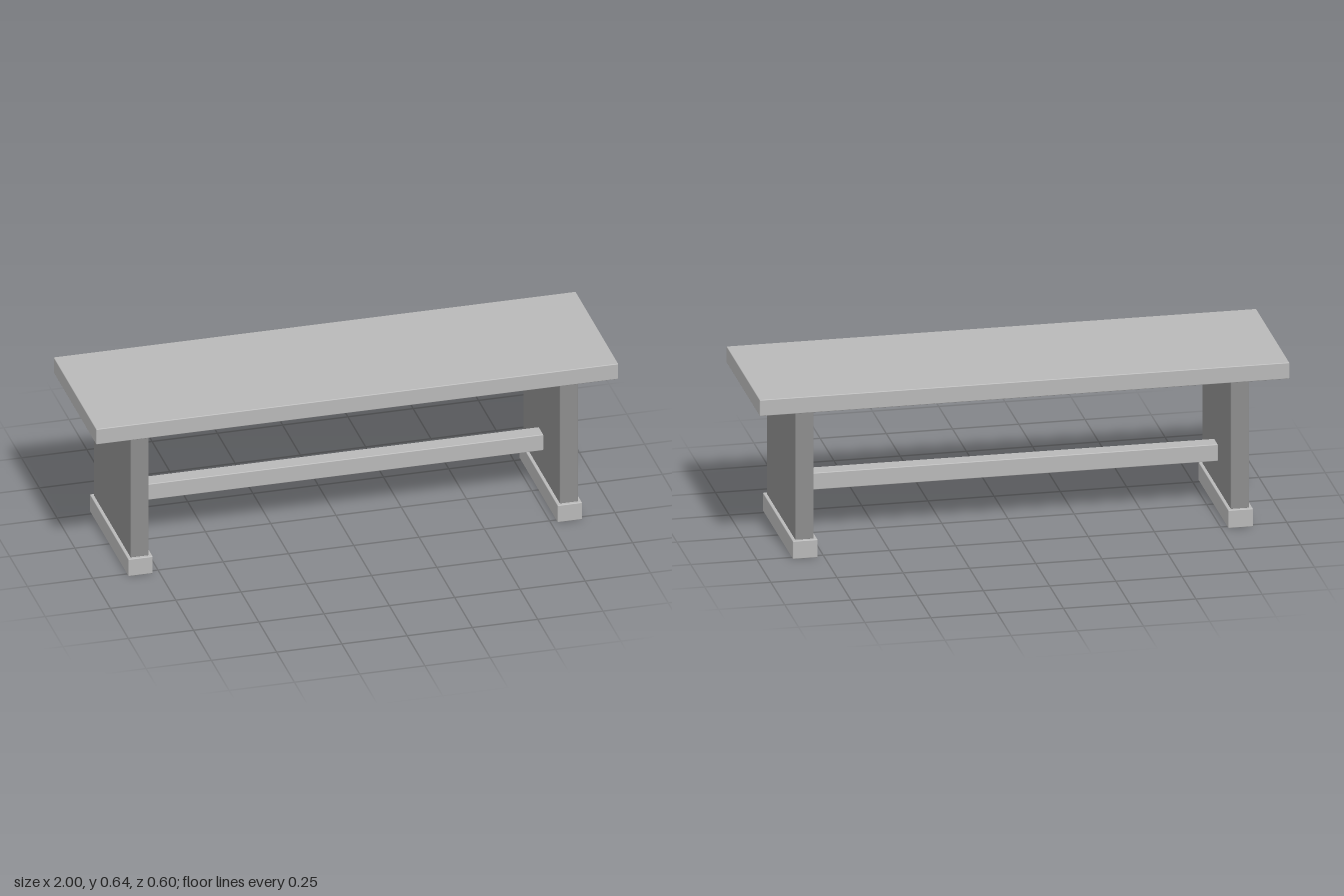
import * as THREE from 'three';
import { RoundedBoxGeometry } from 'three/addons/geometries/RoundedBoxGeometry.js';

export function createModel() {
  const bench = new THREE.Group();
  bench.name = 'bench';

  const lightGrey = new THREE.MeshStandardMaterial({ color: 0xb8b8b8 });
  lightGrey.name = 'light grey';
  const darkGrey = new THREE.MeshStandardMaterial({ color: 0x8c8c8c });
  darkGrey.name = 'dark grey';

  // Slightly eased board, placed by its centre x and its bottom height
  function board(name, material, width, height, depth, x, bottom) {
    const mesh = new THREE.Mesh(new RoundedBoxGeometry(width, height, depth, 2, 0.003), material);
    mesh.name = name;
    mesh.position.set(x, bottom + height / 2, 0);
    bench.add(mesh);
  }

  // Seat plank and the rail joining the two legs
  board('seat', lightGrey, 2, 0.064, 0.6, 0, 0.581);
  board('stretcher', lightGrey, 1.572, 0.066, 0.064, 0, 0.179);

  // Slab leg on a wider foot at each end
  for (const [side, s] of [['left', 1], ['right', -1]]) {
    board(side + 'Leg', darkGrey, 0.07, 0.514, 0.516, s * 0.822, 0.069);
    board(side + 'Foot', lightGrey, 0.094, 0.071, 0.542, s * 0.822, 0);
  }

  return bench;
}
